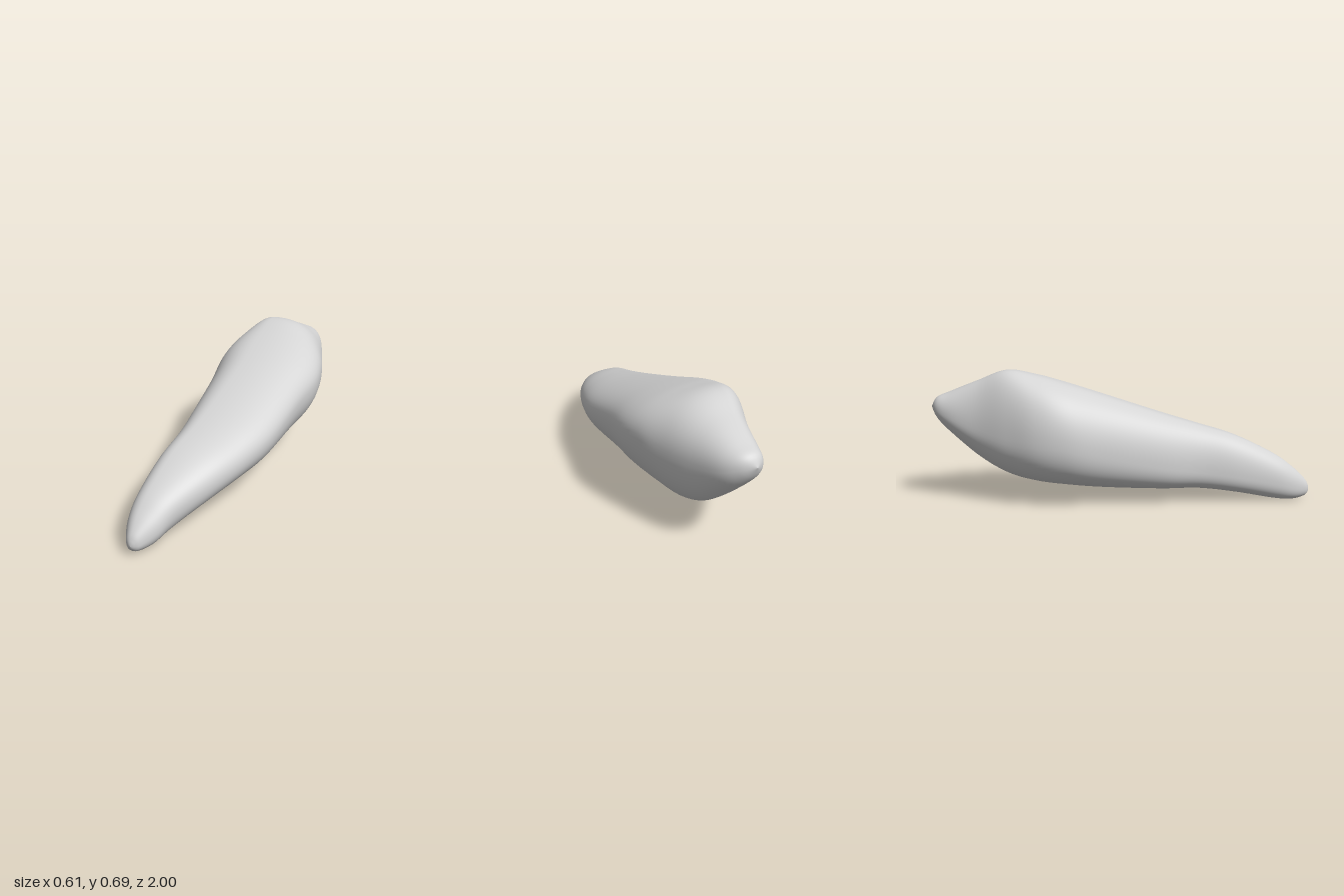
import * as THREE from 'three';

// Cross-sections from back to front:
// z, left x, right x, bottom y, top y, x of top, x of bottom, y of left, y of right
const SECTIONS = [
  [-1.00, 0.00, 0.00, 0.50, 0.50, 0.00, 0.00, 0.50, 0.50],
  [-0.97, -0.05, 0.072, 0.435, 0.55, 0.00, 0.015, 0.49, 0.49],
  [-0.90, -0.09, 0.132, 0.355, 0.58, 0.00, 0.04, 0.46, 0.46],
  [-0.75, -0.145, 0.19, 0.22, 0.64, -0.03, 0.06, 0.40, 0.43],
  [-0.60, -0.22, 0.24, 0.14, 0.695, -0.07, 0.03, 0.36, 0.43],
  [-0.45, -0.285, 0.285, 0.11, 0.67, -0.07, -0.03, 0.35, 0.45],
  [-0.30, -0.303, 0.303, 0.098, 0.627, -0.07, -0.08, 0.34, 0.43],
  [-0.10, -0.275, 0.28, 0.083, 0.562, -0.06, -0.10, 0.27, 0.39],
  [0.20, -0.24, 0.25, 0.073, 0.465, -0.07, -0.12, 0.20, 0.31],
  [0.40, -0.215, 0.20, 0.073, 0.405, -0.08, -0.125, 0.17, 0.265],
  [0.60, -0.215, 0.125, 0.05, 0.345, -0.10, -0.135, 0.14, 0.22],
  [0.80, -0.205, 0.025, 0.012, 0.25, -0.11, -0.125, 0.10, 0.155],
  [0.90, -0.185, -0.02, 0.002, 0.18, -0.115, -0.115, 0.075, 0.095],
  [0.97, -0.15, -0.065, 0.015, 0.115, -0.11, -0.11, 0.06, 0.06],
  [0.993, -0.128, -0.09, 0.035, 0.08, -0.11, -0.11, 0.055, 0.055],
  [1.00, -0.11, -0.11, 0.055, 0.055, -0.11, -0.11, 0.055, 0.055],
];
// Fullness of the upper right, upper left, lower left and lower right quadrants (1 = ellipse)
const FULLNESS = [0.9, 0.93, 0.87, 1];
const STEPS = 6;
const SIDES = 72;

// Smooth blend between neighbouring sections
function sectionAt(t) {
  const last = SECTIONS.length - 1;
  const i = Math.min(Math.floor(t), last - 1);
  const f = t - i;
  const row = (k) => SECTIONS[Math.max(0, Math.min(last, k))];
  return row(i).map((p1, c) => {
    const p0 = row(i - 1)[c], p2 = row(i + 1)[c], p3 = row(i + 2)[c];
    return p1 + 0.5 * f * (p2 - p0 + f * (2 * p0 - 5 * p1 + 4 * p2 - p3 + f * (3 * (p1 - p2) + p3 - p0)));
  });
}

// Four rounded quadrants joined at the extremes of every section
function buildBody() {
  const rings = (SECTIONS.length - 1) * STEPS;
  const positions = [];
  const indices = [];
  for (let r = 0; r <= rings; r++) {
    const [z, xl, xr, yb, yt, xt, xb, yl, yr] = sectionAt(r / STEPS);
    for (let s = 0; s < SIDES; s++) {
      const a = (s / SIDES) * Math.PI * 2;
      const c = Math.cos(a), n = Math.sin(a);
      const power = FULLNESS[Math.floor((4 * s) / SIDES)];
      const cx = n >= 0 ? xt : xb;
      const cy = c >= 0 ? yr : yl;
      positions.push(
        cx + Math.abs(c) ** power * ((c >= 0 ? xr : xl) - cx),
        cy + Math.abs(n) ** power * ((n >= 0 ? yt : yb) - cy),
        z,
      );
      if (r < rings) {
        const p = r * SIDES + s;
        const q = r * SIDES + ((s + 1) % SIDES);
        indices.push(p, q, p + SIDES, q, q + SIDES, p + SIDES);
      }
    }
  }
  const geometry = new THREE.BufferGeometry();
  geometry.setAttribute('position', new THREE.Float32BufferAttribute(positions, 3));
  geometry.setIndex(indices);
  geometry.computeVertexNormals();
  return geometry;
}

export function createModel() {
  const model = new THREE.Group();
  model.name = 'taperedBody';
  const grey = new THREE.MeshStandardMaterial({ color: 0xd4d4d4 });
  grey.name = 'light grey';
  const body = new THREE.Mesh(buildBody(), grey);
  body.name = 'body';
  model.add(body);
  return model;
}
